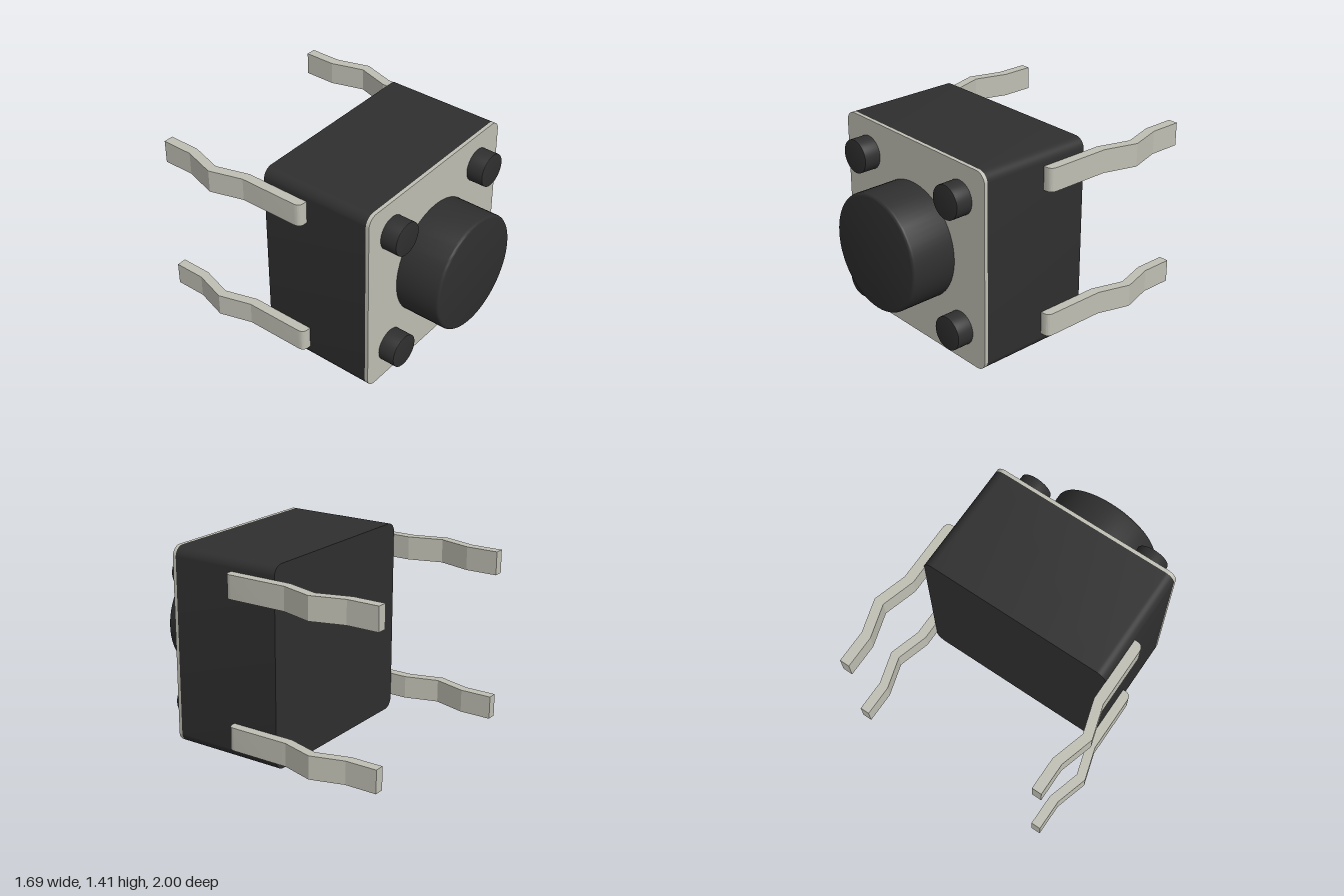
import * as THREE from 'three';
import { toCreasedNormals } from 'three/addons/utils/BufferGeometryUtils.js';

const HALF = 0.707; // half width of the square housing
const MID = HALF;   // height of its centre

function roundedSquare(h, r) {
  const s = new THREE.Shape();
  s.moveTo(h, -h + r);
  s.absarc(h - r, h - r, r, 0, Math.PI / 2);
  s.absarc(-h + r, h - r, r, Math.PI / 2, Math.PI);
  s.absarc(-h + r, -h + r, r, Math.PI, Math.PI * 1.5);
  s.absarc(h - r, -h + r, r, Math.PI * 1.5, Math.PI * 2);
  return s;
}

// Extrude with smooth curves and sharp edges
function extrude(shape, depth) {
  return toCreasedNormals(
    new THREE.ExtrudeGeometry(shape, { depth, bevelEnabled: false, curveSegments: 8 }), 0.5);
}

// Round post along +z with a softened front rim
function post(radius, z0, z1, rim) {
  const pts = [new THREE.Vector2(0, z0), new THREE.Vector2(radius, z0)];
  for (let i = 0; i <= 4; i++) {
    const a = (i / 4) * Math.PI / 2;
    pts.push(new THREE.Vector2(radius - rim + rim * Math.cos(a), z1 - rim + rim * Math.sin(a)));
  }
  pts.push(new THREE.Vector2(0, z1));
  const g = new THREE.LatheGeometry(pts, 64);
  g.rotateX(Math.PI / 2);
  return toCreasedNormals(g, 0.5);
}

// Kinked strip seen from above; shape y runs towards the back
function legGeometry(side) {
  const s = new THREE.Shape();
  const x0 = 0.705, x1 = 0.775, kink = 0.07, r = 0.05;
  s.moveTo(side * x0, -0.175);
  s.lineTo(side * (x1 - r), -0.175);
  s.quadraticCurveTo(side * x1, -0.175, side * x1, -0.175 + r);
  s.lineTo(side * x1, 0.3);
  s.lineTo(side * (x1 + kink), 0.535);
  s.lineTo(side * x1, 0.77);
  s.lineTo(side * x1, 1);
  s.lineTo(side * x0, 1);
  s.lineTo(side * x0, 0.77);
  s.lineTo(side * (x0 + kink), 0.535);
  s.lineTo(side * x0, 0.3);
  s.closePath();
  const g = new THREE.ExtrudeGeometry(s, { depth: 0.165, bevelEnabled: false, curveSegments: 6 });
  g.rotateX(-Math.PI / 2);
  return toCreasedNormals(g, 0.26);
}

export function createModel() {
  const group = new THREE.Group();
  const black = new THREE.MeshStandardMaterial({ color: 0x2f2f2f });
  black.name = 'black plastic';
  const metal = new THREE.MeshStandardMaterial({ color: 0xc0bfb4 });
  metal.name = 'pale metal';

  const add = (name, geometry, material, x, y, z) => {
    const m = new THREE.Mesh(geometry, material);
    m.name = name;
    m.position.set(x, y, z);
    group.add(m);
  };

  // Housing and front cover
  const outline = roundedSquare(HALF, 0.075);
  add('housing', extrude(outline, 0.82), black, 0, MID, -0.175);
  add('coverPlate', extrude(outline, 0.025), metal, 0, MID, 0.645);

  // Push button
  add('button', post(0.41, 0.66, 1, 0.02), black, 0, MID, 0);

  // Corner pegs and contact legs
  const peg = post(0.118, 0.66, 0.79, 0.002);
  for (const side of [-1, 1]) {
    const leg = legGeometry(side);
    const label = side > 0 ? 'Left' : 'Right';
    for (const up of [-1, 1]) {
      const level = up > 0 ? 'upper' : 'lower';
      add(level + label + 'Peg', peg, black, side * 0.471, MID + up * 0.471, 0);
      add(level + label + 'Leg', leg, metal, 0, up > 0 ? 1.157 : 0.097, 0);
    }
  }
  return group;
}
